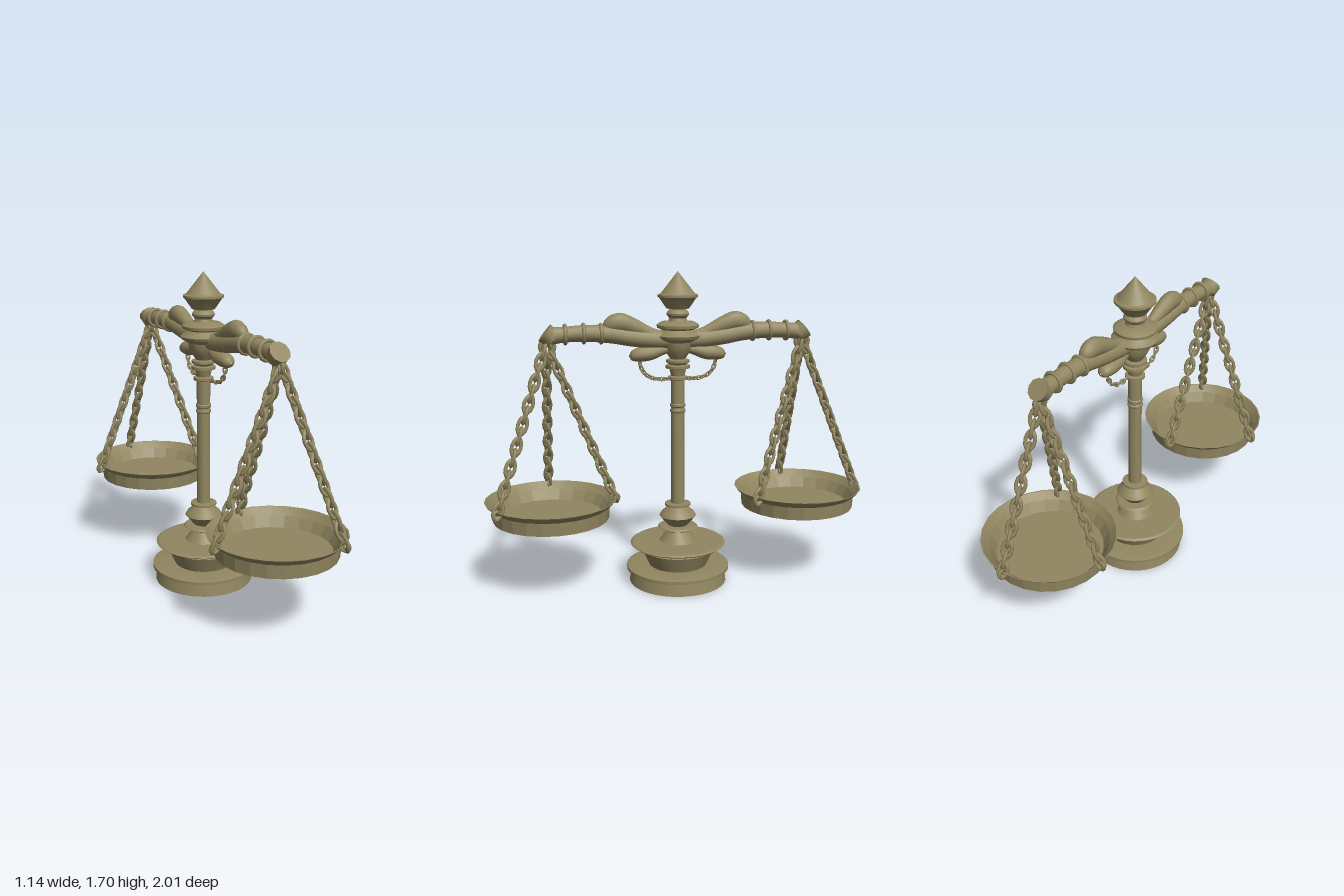
import * as THREE from 'three';
import { mergeGeometries, toCreasedNormals } from 'three/addons/utils/BufferGeometryUtils.js';

const bronze = new THREE.MeshStandardMaterial({ color: 0x918660 });
bronze.name = 'aged bronze';

const V = (x, y, z) => new THREE.Vector3(x, y, z);

function add(parent, name, geometry, x = 0, y = 0, z = 0) {
  const mesh = new THREE.Mesh(geometry, bronze);
  mesh.name = name;
  mesh.position.set(x, y, z);
  parent.add(mesh);
  return mesh;
}

// turned part from [radius, height] points, bottom to top
function turned(points, sides, crease = 0.5) {
  const profile = points.map(([r, y]) => new THREE.Vector2(r, y));
  return toCreasedNormals(new THREE.LatheGeometry(profile, sides), crease);
}

// rounded limb along x; each station is [x, centre height, radius]
function limb(stations, widthRatio = 1, rows = 28, sides = 14) {
  const curve = new THREE.CatmullRomCurve3(stations.map((s) => V(...s)));
  const position = [], index = [];
  for (let i = 0; i <= rows; i++) {
    const { x, y, z: r } = curve.getPoint(i / rows);
    for (let j = 0; j < sides; j++) {
      const a = (j / sides) * Math.PI * 2;
      position.push(x, y + r * Math.cos(a), widthRatio * r * Math.sin(a));
      if (i === rows) continue;
      const p = i * sides + j, q = i * sides + (j + 1) % sides;
      index.push(p, q, p + sides, q, q + sides, p + sides);
    }
  }
  const g = new THREE.BufferGeometry();
  g.setAttribute('position', new THREE.Float32BufferAttribute(position, 3));
  g.setIndex(index);
  g.computeVertexNormals();
  return g;
}

// oval links along a curve, each turned a quarter from the last
function chain(curve, size) {
  const count = Math.round(curve.getLength() / (0.056 * size));
  const links = [];
  for (let i = 0; i <= count; i++) {
    const u = i / count;
    const link = new THREE.TorusGeometry(0.023 * size, 0.0095 * size, 6, 12);
    link.scale(1, 1.75, 1);
    link.rotateY(Math.PI / 4 + (i % 2) * Math.PI / 2);
    link.applyQuaternion(new THREE.Quaternion().setFromUnitVectors(V(0, 1, 0), curve.getTangentAt(u)));
    const p = curve.getPointAt(u);
    links.push(link.translate(p.x, p.y, p.z));
  }
  return mergeGeometries(links);
}

// stand: base, column, hub and finial
function makeStand() {
  const stand = new THREE.Group();
  stand.name = 'stand';
  add(stand, 'base', turned([
    [0, 0], [0.268, 0], [0.257, 0.068], [0.283, 0.074], [0.283, 0.09], [0.265, 0.095],
    [0.16, 0.095], [0.2, 0.183], [0.15, 0.21], [0.255, 0.212], [0.262, 0.218], [0.25, 0.226],
    [0.1, 0.228], [0.045, 0.3], [0.1, 0.301], [0.11, 0.307], [0.1, 0.316],
    [0.055, 0.318], [0.1, 0.372], [0.09, 0.39], [0.045, 0.428], [0.07, 0.43], [0.07, 0.442], [0.036, 0.445],
  ], 40));
  add(stand, 'column', turned([
    [0.036, 0.44], [0.036, 0.95], [0.041, 0.955], [0.041, 0.965], [0.036, 0.97], [0.036, 0.98],
    [0.041, 0.985], [0.041, 0.995], [0.036, 1.0], [0.036, 1.125], [0.052, 1.13], [0.052, 1.145],
    [0.036, 1.15], [0.045, 1.185], [0.064, 1.19], [0.064, 1.205], [0.045, 1.21],
    [0.062, 1.222], [0.062, 1.235], [0.04, 1.24], [0.04, 1.28],
  ], 24));
  add(stand, 'hub', turned([
    [0.04, 1.24], [0.06, 1.27], [0.075, 1.3], [0.08, 1.33], [0.115, 1.35], [0.122, 1.365], [0.1, 1.38],
    [0.085, 1.395], [0.11, 1.405], [0.112, 1.42], [0.09, 1.435], [0.05, 1.44], [0.045, 1.455], [0.058, 1.47],
    [0.06, 1.48], [0.05, 1.495], [0.035, 1.505],
  ], 32));
  add(stand, 'finial', turned([
    [0, 1.495], [0.06, 1.505], [0.098, 1.56], [0.106, 1.565], [0.106, 1.577], [0.09, 1.583], [0, 1.697],
  ], 28));
  stand.position.set(-0.018, 0, -0.014);
  return stand;
}

// half of the balance beam, reaching along +x
function makeArm(name) {
  const arm = new THREE.Group();
  arm.name = name;
  add(arm, 'beam', limb([
    [0, 1.345, 0.05], [0.12, 1.345, 0.048], [0.25, 1.36, 0.048], [0.36, 1.378, 0.047],
    [0.5, 1.385, 0.043], [0.6, 1.38, 0.041], [0.66, 1.375, 0.046],
  ]));
  add(arm, 'upperScroll', limb([
    [0.03, 1.36, 0.02], [0.13, 1.375, 0.03], [0.23, 1.415, 0.045],
    [0.3, 1.436, 0.051], [0.355, 1.432, 0.044], [0.385, 1.425, 0.026], [0.395, 1.424, 0.003],
  ], 0.85));
  add(arm, 'lowerScroll', limb([
    [0.02, 1.3, 0.016], [0.08, 1.29, 0.028], [0.14, 1.275, 0.038],
    [0.2, 1.27, 0.039], [0.245, 1.264, 0.026], [0.26, 1.262, 0.003],
  ], 1.1));
  for (const [x, y] of [[0.405, 1.382], [0.495, 1.384], [0.59, 1.381]]) {
    add(arm, 'beamRing', new THREE.TorusGeometry(0.047, 0.01, 8, 20).rotateY(Math.PI / 2), x, y);
  }
  const tip = add(arm, 'beamTip', toCreasedNormals(new THREE.CylinderGeometry(0.055, 0.048, 0.055, 10), 0.7), 0.672, 1.375);
  tip.rotation.z = -0.9;
  add(arm, 'hangingRing', new THREE.TorusGeometry(0.036, 0.011, 8, 18), 0.683, 1.32);
  add(arm, 'drapedChain', chain(
    new THREE.QuadraticBezierCurve3(V(0.205, 1.245, 0), V(0.2, 1.115, 0), V(0.035, 1.138, 0)), 0.45));
  return arm;
}

// pan hung on three chains; origin below the hanging point
function makeScale(name) {
  const scale = new THREE.Group();
  scale.name = name;
  add(scale, 'pan', turned([
    [0, 0.405], [0.308, 0.405], [0.313, 0.475], [0.346, 0.505], [0.35, 0.511],
    [0.343, 0.511], [0.31, 0.475], [0.277, 0.42], [0, 0.42],
  ], 24, 0.2));
  for (const [x, z] of [[-0.32, -0.11], [0.095, 0.322], [0.1, -0.32]]) {
    add(scale, 'panChain', chain(new THREE.LineCurve3(V(x * 0.05, 1.3, z * 0.05), V(x, 0.515, z)), 1));
    const hook = new THREE.TorusGeometry(0.022, 0.009, 6, 12);
    add(scale, 'rimHook', hook, x * 1.02, 0.495, z * 1.02).rotation.y = -Math.atan2(z, x);
  }
  return scale;
}

export function createModel() {
  const model = new THREE.Group();
  model.name = 'balanceScale';
  model.add(makeStand());

  const reachX = 0.217, reachZ = 0.648;
  for (const [side, s] of [['back', 1], ['front', -1]]) {
    const arm = makeArm(side + 'Arm');
    arm.position.set(-0.006, 0, -0.008);
    arm.rotation.y = Math.atan2(s * reachZ, s * reachX);
    model.add(arm);

    const scale = makeScale(side + 'Scale');
    scale.position.set(s * reachX, 0, -s * reachZ);
    model.add(scale);
  }
  return model;
}
